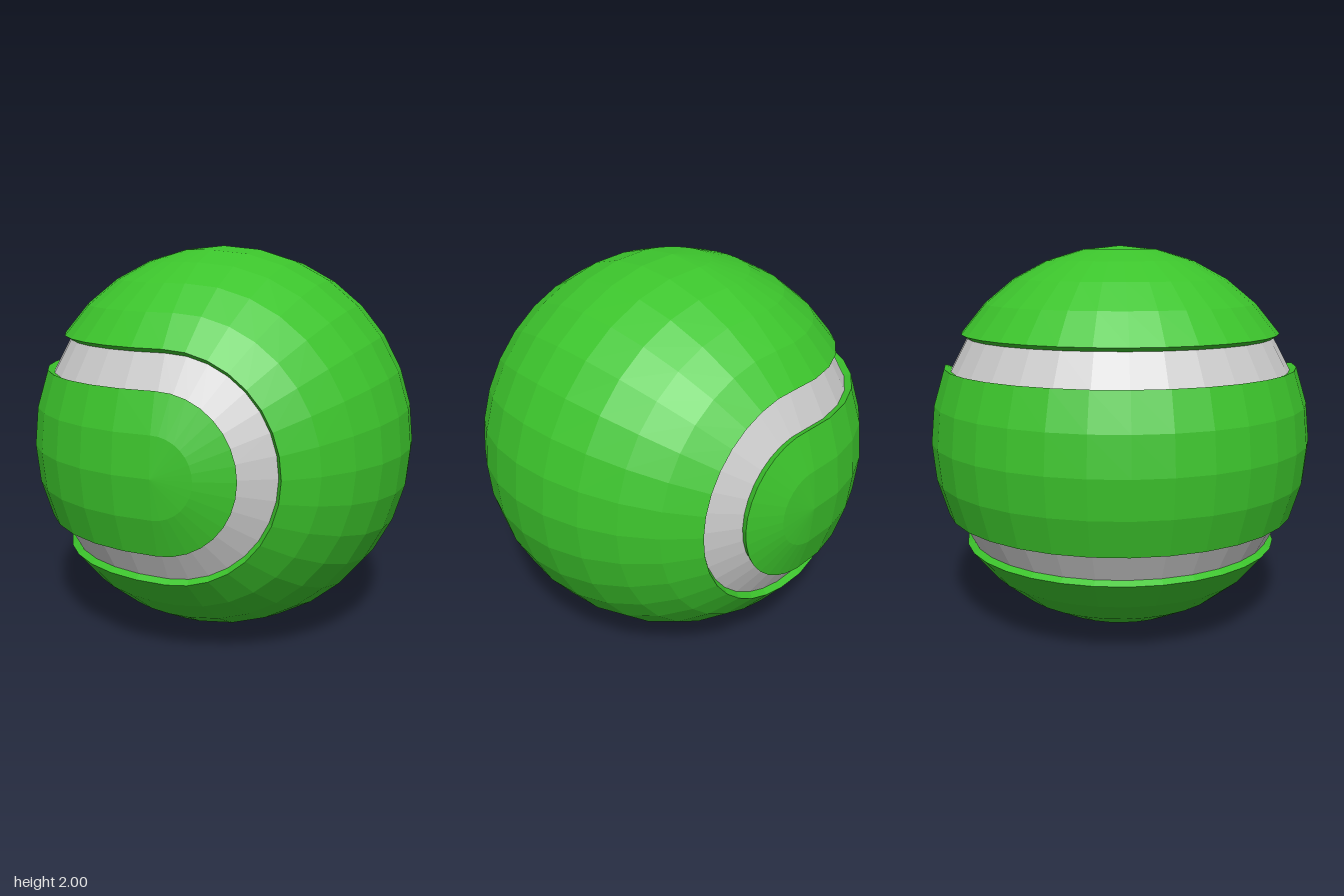
import * as THREE from 'three';

const STEP = Math.PI / 16; // one facet of the 32-sided ball
const OUTER = 1, FLOOR = 0.963;

const feltMaterial = new THREE.MeshStandardMaterial({ color: 0x3cc42c, flatShading: true });
const seamMaterial = new THREE.MeshStandardMaterial({ color: 0xcccccc, flatShading: true });

const onArc = (radius, i) =>
  new THREE.Vector2(Math.max(0, radius * Math.cos(i * STEP)), radius * Math.sin(i * STEP));

// Half-turn lathe between two latitudes, given in facet steps (-8..8).
// The left half turns about y, the right half about z; they meet on x = 0.
function halfBand(profile, leftHalf) {
  const geometry = new THREE.LatheGeometry(profile, 16, leftHalf ? Math.PI : 0, Math.PI);
  if (!leftHalf) geometry.rotateX(Math.PI / 2);
  return geometry;
}

// Felt panel with radial walls dropping into the seam groove
function feltBand(from, to, leftHalf) {
  const points = [];
  if (from > -8) points.push(onArc(FLOOR, from));
  for (let i = from; i <= to; i++) points.push(onArc(OUTER, i));
  if (to < 8) points.push(onArc(FLOOR, to));
  return new THREE.Mesh(halfBand(points, leftHalf), feltMaterial);
}

function seamBand(from, to, leftHalf) {
  return new THREE.Mesh(halfBand([onArc(FLOOR, from), onArc(FLOOR, to)], leftHalf), seamMaterial);
}

function part(name, meshes) {
  const group = new THREE.Group();
  group.name = name;
  meshes.forEach((mesh, i) => { mesh.name = `${name}Section${i + 1}`; group.add(mesh); });
  return group;
}

export function createModel() {
  const ball = new THREE.Group();
  ball.name = 'ball';

  // Large felt panel: half a ball plus the two caps above and below the strip
  ball.add(part('outerFelt', [
    feltBand(-5, 5, false), feltBand(3, 8, true), feltBand(-8, -3, true),
  ]));

  // Strip wrapping one side, with a rounded end at front and back
  ball.add(part('innerFelt', [
    feltBand(-2, 2, true), feltBand(6, 8, false), feltBand(-8, -6, false),
  ]));

  // Recessed seam running between the panels
  ball.add(part('seam', [
    seamBand(2, 3, true), seamBand(-3, -2, true),
    seamBand(5, 6, false), seamBand(-6, -5, false),
  ]));

  ball.position.y = 1;
  const model = new THREE.Group();
  model.name = 'tennisBall';
  model.add(ball);
  return model;
}
